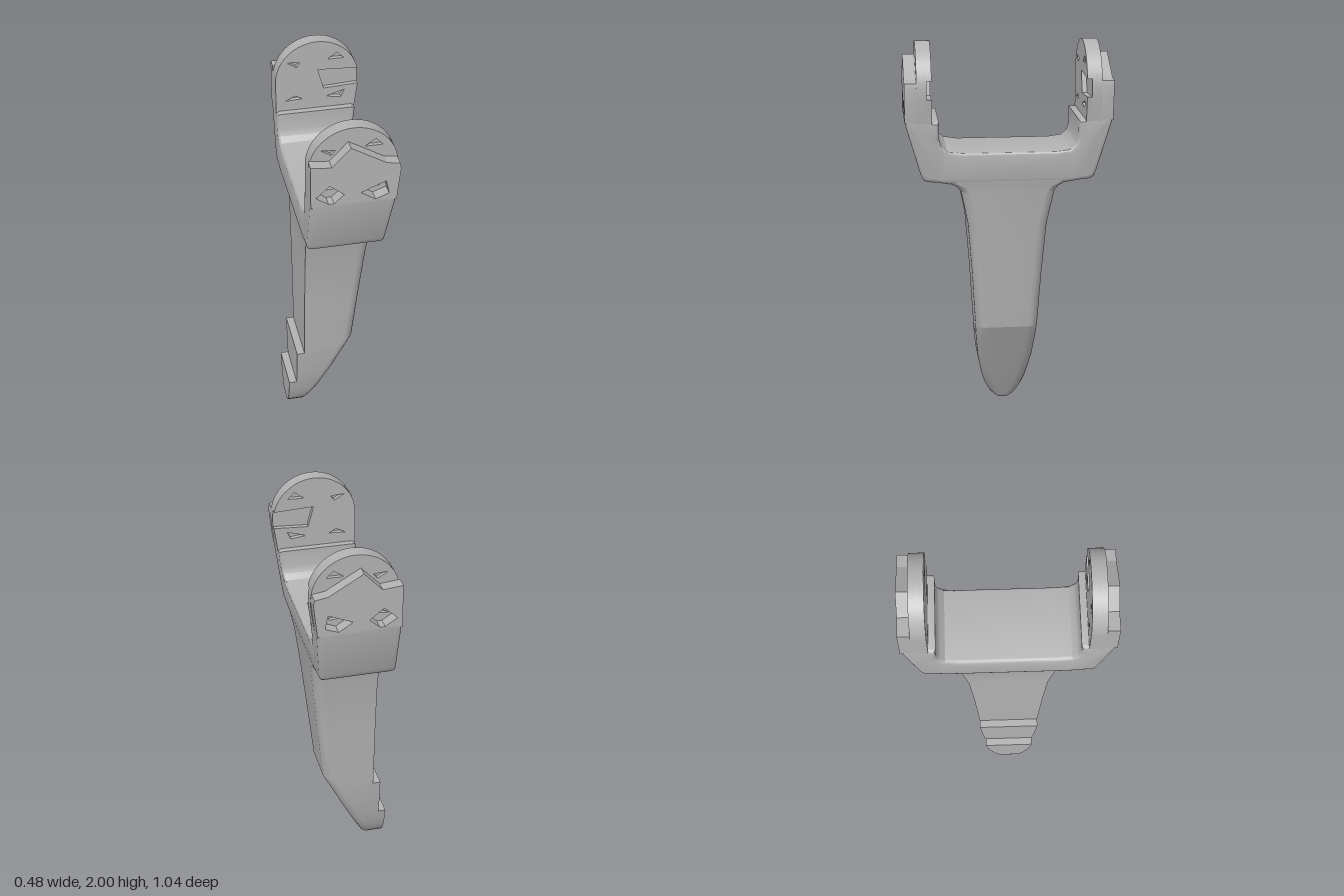
import * as THREE from 'three';
import { toCreasedNormals } from 'three/addons/utils/BufferGeometryUtils.js';

const grey = new THREE.MeshStandardMaterial({ color: 0xb2b2b2 });
grey.name = 'plain grey';

const add = (parent, name, geometry) => {
  const mesh = new THREE.Mesh(geometry, grey);
  mesh.name = name;
  parent.add(mesh);
};
const poly = (points) => points.map(([x, y]) => new THREE.Vector2(x, y));

// Stem: stacked sections, square at the back edge and rounded on the +x edge.
// Each row is [y, xMin, xMax, half depth]; repeated heights make the two steps.
function stemGeometry() {
  const rows = [
    [0, -0.225, -0.17, 0.008], [0.008, -0.236, -0.146, 0.03], [0.025, -0.24, -0.128, 0.052],
    [0.05, -0.24, -0.115, 0.075], [0.1, -0.24, -0.091, 0.1], [0.15, -0.24, -0.066, 0.116],
    [0.215, -0.24, -0.034, 0.13], [0.215, -0.2, -0.034, 0.13], [0.3, -0.2, 0.007, 0.146],
    [0.435, -0.2, 0.073, 0.159], [0.435, -0.16, 0.073, 0.159], [0.5, -0.16, 0.105, 0.163],
    [0.8, -0.16, 0.136, 0.181], [1.07, -0.16, 0.164, 0.203], [1.25, -0.16, 0.184, 0.24],
    [1.275, -0.167, 0.186, 0.262], [1.295, -0.18, 0.188, 0.3], [1.325, -0.185, 0.19, 0.34],
  ];
  const steps = 6;
  const positions = [], indices = [];
  const size = 2 * (steps + 1) + 2;
  for (const [y, x0, x1, h] of rows) {
    const r = Math.min(0.055, h * 0.7, (x1 - x0) * 0.7);
    positions.push(x0, y, h);
    for (const side of [1, -1]) {
      for (let i = 0; i <= steps; i++) {
        const a = (Math.PI / 2) * (side > 0 ? 1 - i / steps : i / steps);
        positions.push(x1 - r + r * Math.cos(a), y, side * (h - r + r * Math.sin(a)));
      }
    }
    positions.push(x0, y, -h);
  }
  for (let j = 0; j < rows.length - 1; j++) {
    for (let i = 0; i < size; i++) {
      const a = j * size + i, b = j * size + (i + 1) % size;
      indices.push(a, b, b + size, a, b + size, a + size);
    }
  }
  const top = (rows.length - 1) * size;
  for (let i = 1; i < size - 1; i++) {
    indices.push(0, i + 1, i, top, top + i, top + i + 1);
  }
  const g = new THREE.BufferGeometry();
  g.setAttribute('position', new THREE.Float32BufferAttribute(positions, 3));
  g.setIndex(indices);
  return toCreasedNormals(g, 0.3);
}

// Yoke: U-shaped side profile run across x, widening toward the top
function yokeGeometry() {
  const half = [
    [0.3, 1.295], [0.35, 1.304], [0.415, 1.311], [0.432, 1.323], [0.444, 1.35], [0.52, 1.62],
    [0.52, 1.635], [0.4, 1.635], [0.385, 1.62], [0.35, 1.62], [0.35, 1.53], [0.338, 1.495],
    [0.31, 1.47], [0.24, 1.46],
  ];
  const mirrored = half.slice().reverse().map(([z, y]) => [-z, y]);
  const g = new THREE.ExtrudeGeometry(new THREE.Shape(poly([...half, ...mirrored])), {
    depth: 0.34, bevelEnabled: true, bevelThickness: 0.02, bevelSize: 0.02,
    bevelOffset: -0.02, bevelSegments: 3,
  });
  g.rotateY(Math.PI / 2);
  g.translate(0.02, 0, 0);
  const p = g.attributes.position;
  for (let i = 0; i < p.count; i++) {
    const width = 0.38 + (p.getY(i) - 1.31) * 0.104;
    p.setX(i, -0.19 + p.getX(i) / 0.38 * width);
  }
  return toCreasedNormals(g, 0.55);
}

// Ear outline with a round top and an optional wedge notch in the +x edge
function earShape(notched) {
  const points = [[-0.19, 1.61], [0.221, 1.61], [0.239, 1.74]];
  if (notched) points.push([0.06, 1.73], [0.03, 1.84], [0.235, 1.83]);
  for (let i = notched ? 3 : 0; i <= 32; i++) {
    const a = Math.PI * i / 32;
    points.push([0.025 + 0.215 * Math.cos(a), 1.785 + 0.215 * Math.sin(a)]);
  }
  return new THREE.Shape(poly(points));
}

const dents = [
  [[-0.13, 1.895], [-0.06, 1.89], [-0.08, 1.865]],
  [[0.08, 1.895], [0.13, 1.93], [0.165, 1.895]],
];
const lowDents = [
  [[-0.14, 1.675], [-0.09, 1.7], [-0.05, 1.68]],
  [[0.07, 1.68], [0.17, 1.71], [0.15, 1.67]],
];
const pockets = [
  [[-0.165, 1.675], [-0.1, 1.735], [-0.03, 1.68], [-0.09, 1.625]],
  [[0.05, 1.68], [0.17, 1.73], [0.185, 1.66], [0.12, 1.635]],
];
function cut(shape, holes) {
  for (const h of holes) shape.holes.push(new THREE.Path(poly(h)));
  return shape;
}

export function createModel() {
  const model = new THREE.Group();
  model.name = 'forkedBracket';
  add(model, 'stem', stemGeometry());
  add(model, 'yoke', yokeGeometry());

  // Outer pad with a peaked top edge
  const pad = new THREE.Shape(poly([
    [-0.19, 1.62], [0.222, 1.62], [0.24, 1.79], [0.235, 1.82], [0.17, 1.83],
    [0, 1.93], [-0.09, 1.835], [-0.19, 1.845],
  ]));
  // Ear layers: [name, outline, inner z, outer z]
  const layers = [
    ['earInnerFace', cut(earShape(true), [...dents, ...lowDents]), 0.385, 0.41],
    ['earCore', earShape(false), 0.41, 0.44],
    ['earOuterFace', cut(earShape(false), [...dents, ...lowDents]), 0.44, 0.46],
    ['earPad', cut(pad, pockets), 0.46, 0.52],
  ];
  for (const side of [1, -1]) {
    const ear = new THREE.Group();
    ear.name = side > 0 ? 'frontEar' : 'backEar';
    for (const [name, shape, z0, z1] of layers) {
      const g = new THREE.ExtrudeGeometry(shape, { depth: z1 - z0, bevelEnabled: false });
      g.translate(0, 0, side > 0 ? z0 : -z1);
      add(ear, name, toCreasedNormals(g, 0.3));
    }
    model.add(ear);
  }
  return model;
}
